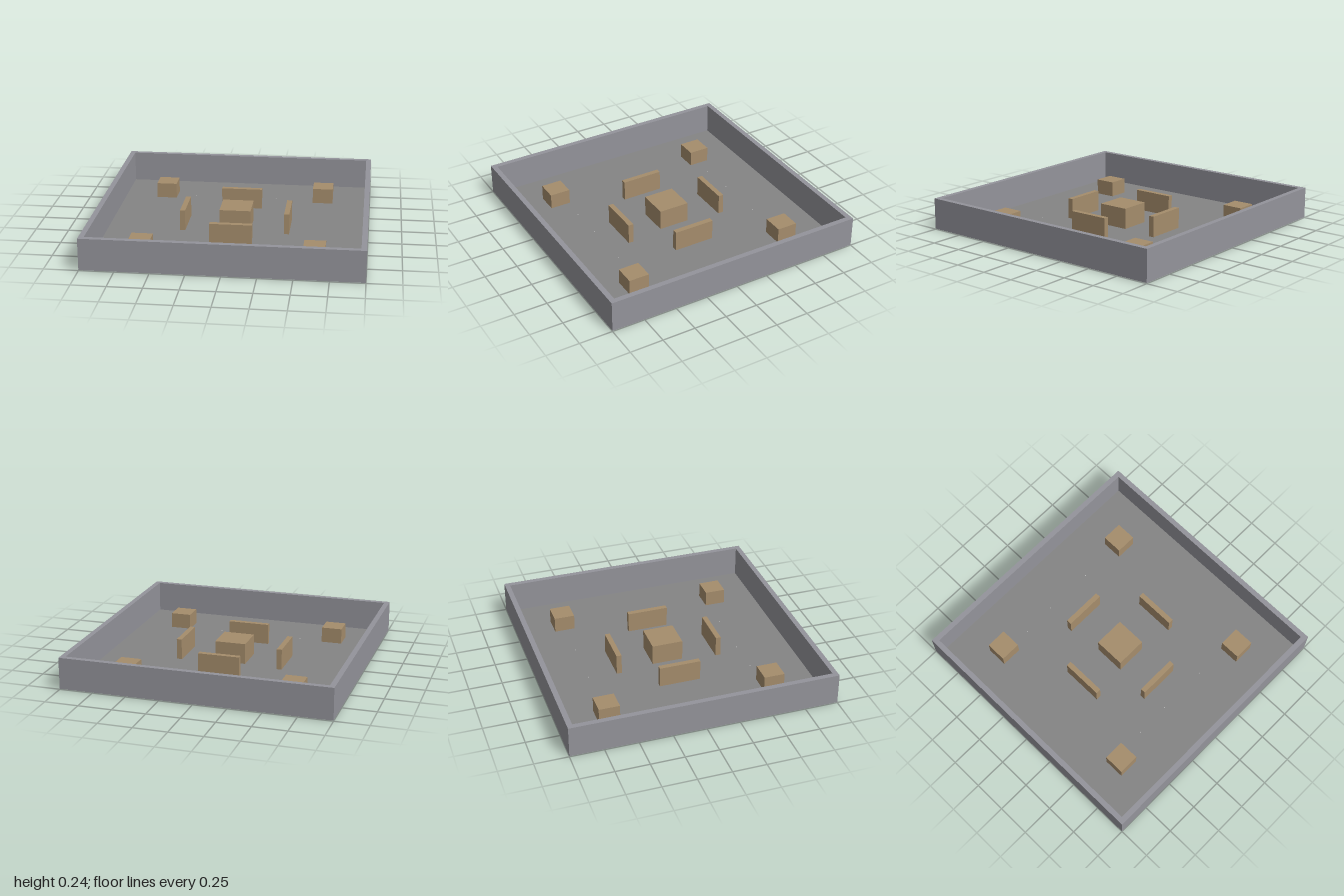
import * as THREE from 'three';

const U = 2 / 25.5;      // layout unit
const FLOOR = 0.004;     // floor level

export function createModel() {
  const group = new THREE.Group();
  const paint = (color) => new THREE.MeshStandardMaterial({ color });
  const wallMat = paint(0x94949b);
  const crateMat = paint(0xa58d6c);
  const pebbleMat = paint(0xcccccc);

  // Block standing on the floor, sized in layout units
  const block = (name, w, h, d, x, z) => {
    const mesh = new THREE.Mesh(new THREE.BoxGeometry(w * U, h * U, d * U), crateMat);
    mesh.position.set(x * U, FLOOR + (h * U) / 2, z * U);
    mesh.name = name;
    group.add(mesh);
  };

  // Thin ground sheet
  const floorMat = paint(0x858585);
  floorMat.side = THREE.DoubleSide;
  const floor = new THREE.Mesh(new THREE.PlaneGeometry(25 * U, 25 * U), floorMat);
  floor.rotation.x = -Math.PI / 2;
  floor.position.y = FLOOR;
  floor.name = 'floor';
  group.add(floor);

  // Square perimeter wall
  const square = (shape, r) =>
    shape.moveTo(-r, -r).lineTo(r, -r).lineTo(r, r).lineTo(-r, r).closePath();
  const frame = square(new THREE.Shape(), 12.75 * U);
  frame.holes.push(square(new THREE.Path(), 12.25 * U));
  const wallGeo = new THREE.ExtrudeGeometry(frame, { depth: 3 * U, bevelEnabled: false });
  wallGeo.rotateX(-Math.PI / 2);
  const walls = new THREE.Mesh(wallGeo, wallMat);
  walls.position.y = FLOOR;
  walls.name = 'perimeterWall';
  group.add(walls);

  // Central block, corner crates and low barriers
  block('centreBlock', 3, 2, 3, 0, 0);
  for (const s of [-1, 1]) {
    for (const t of [-1, 1]) block('cornerCrate', 2, 1.5, 2, 8 * s, 8 * t);
    block('crossBarrier', 4, 2, 0.5, 0, 5 * s);
    block('sideBarrier', 0.5, 2, 4, 5 * s, 0);
  }

  // Tiny markers in two rows, half sunk in the floor
  const pebbleGeo = new THREE.SphereGeometry(FLOOR, 8, 6);
  const spots = [[-0.396, -0.615], [-0.134, -0.625], [0.249, -0.625],
    [-0.366, 0.572], [-0.1, 0.567], [0.284, 0.567]];
  for (const [x, z] of spots) {
    const pebble = new THREE.Mesh(pebbleGeo, pebbleMat);
    pebble.position.set(x, FLOOR, z);
    pebble.name = 'marker';
    group.add(pebble);
  }
  return group;
}
